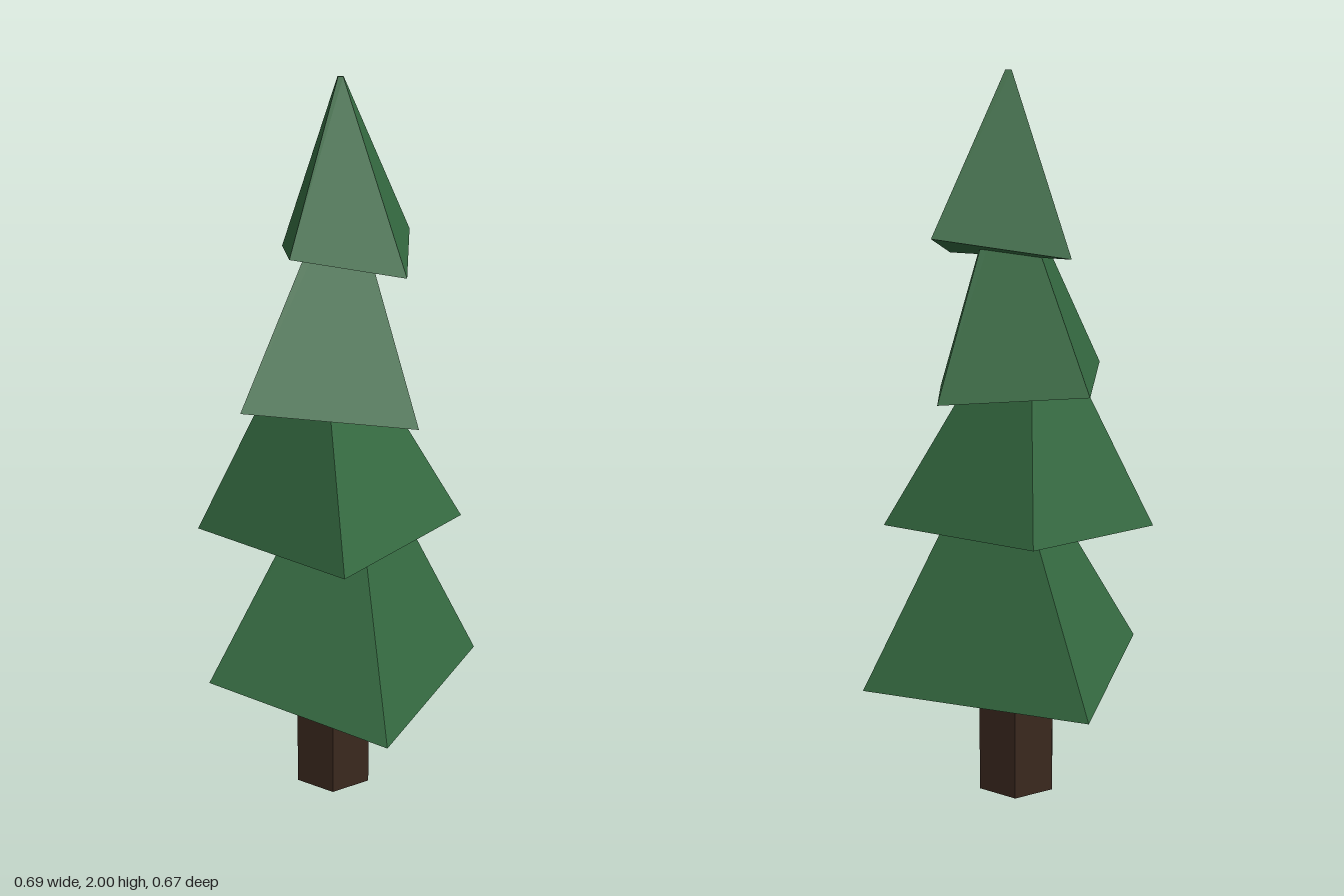
import * as THREE from 'three';

const leafMaterial = new THREE.MeshStandardMaterial({ color: 0x356a41, flatShading: true });
const barkMaterial = new THREE.MeshStandardMaterial({ color: 0x3a281e, flatShading: true });

// Each tier: four uneven base corners (clockwise from above), top centre, and top size relative to the base
const tiers = [
  { name: 'bottomTier', top: [0.03, 1.08, -0.05], scale: 0.04,
    base: [[-0.32, 0.35, -0.27], [0.345, 0.335, -0.285], [0.29, 0.317, 0.31], [-0.245, 0.39, 0.3]] },
  { name: 'lowerMiddleTier', top: [-0.04, 1.44, -0.01], scale: 0.05,
    base: [[-0.348, 0.78, 0.145], [-0.19, 0.82, -0.335], [0.315, 0.795, -0.2], [0.175, 0.803, 0.333]] },
  { name: 'upperMiddleTier', top: [0, 1.75, -0.07], scale: 0.07,
    base: [[-0.277, 1.19, -0.175], [0.09, 1.165, -0.307], [0.28, 1.14, 0.085], [-0.12, 1.203, 0.315]] },
  { name: 'topTier', top: [-0.02, 2, -0.104], scale: 0.045,
    base: [[-0.218, 1.535, -0.16], [0.11, 1.585, -0.29], [0.225, 1.525, 0.045], [-0.055, 1.57, 0.148]] },
];

// Closed, slightly crooked four-sided frustum
function tierGeometry({ base, top, scale }) {
  const cx = base.reduce((sum, p) => sum + p[0], 0) / 4;
  const cz = base.reduce((sum, p) => sum + p[2], 0) / 4;
  const rim = base.map(([x, , z]) => [top[0] + (x - cx) * scale, top[1], top[2] + (z - cz) * scale]);
  const index = [0, 1, 2, 0, 2, 3, 4, 6, 5, 4, 7, 6];
  for (let i = 0; i < 4; i++) {
    const j = (i + 1) % 4;
    index.push(j, i, i + 4, j, i + 4, j + 4);
  }
  const geometry = new THREE.BufferGeometry();
  geometry.setAttribute('position', new THREE.Float32BufferAttribute([...base, ...rim].flat(), 3));
  geometry.setIndex(index);
  const faceted = geometry.toNonIndexed();
  faceted.computeVertexNormals();
  return faceted;
}

export function createModel() {
  const tree = new THREE.Group();
  tree.name = 'pineTree';

  // Six-sided trunk, reaching up into the lowest tier
  const trunk = new THREE.Mesh(
    new THREE.CylinderGeometry(0.12, 0.12, 0.5, 6, 1, false, THREE.MathUtils.degToRad(22)), barkMaterial);
  trunk.name = 'trunk';
  trunk.position.set(0.01, 0.25, 0.013);
  tree.add(trunk);

  // Stacked foliage
  for (const tier of tiers) {
    const mesh = new THREE.Mesh(tierGeometry(tier), leafMaterial);
    mesh.name = tier.name;
    tree.add(mesh);
  }
  return tree;
}
